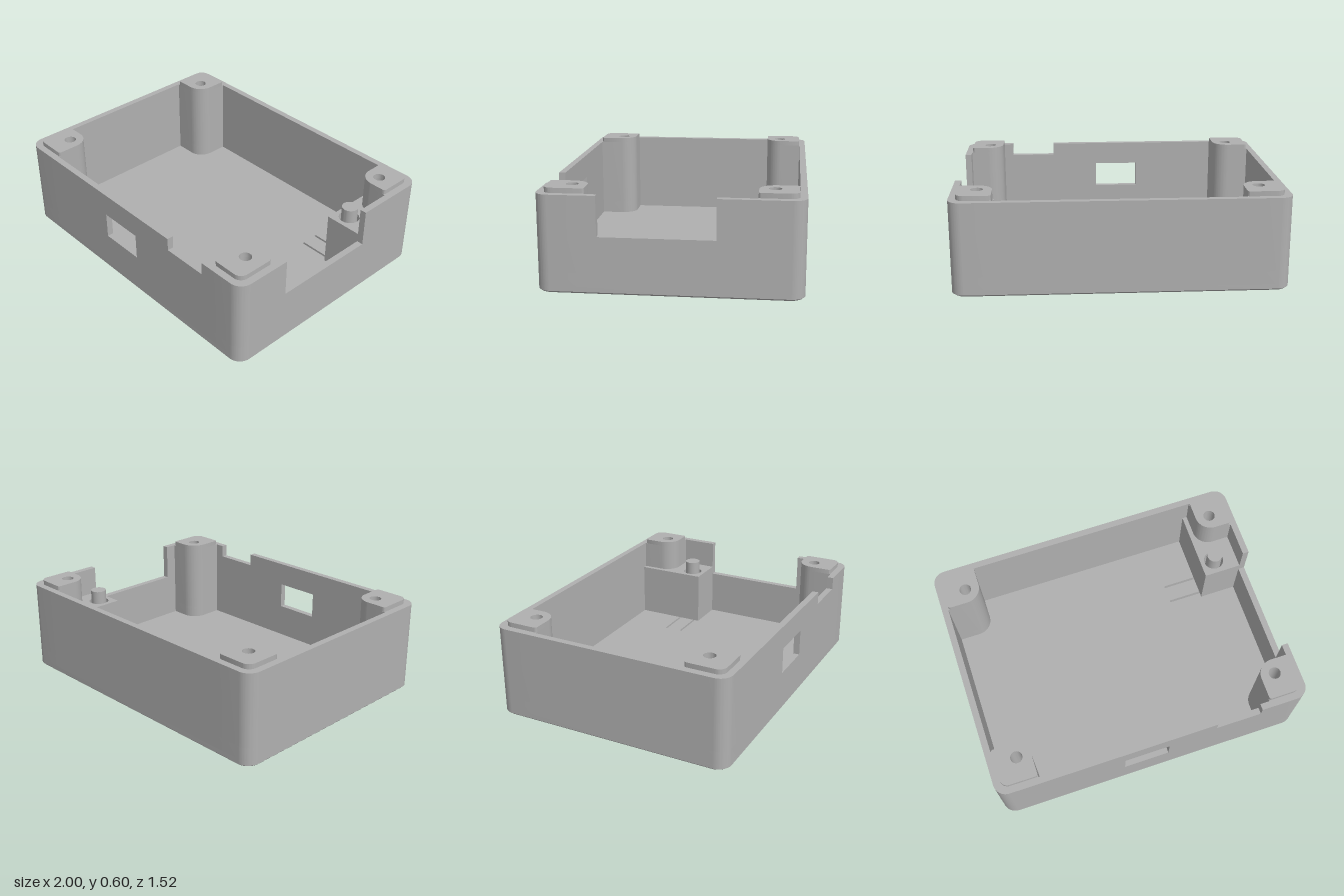
import * as THREE from 'three';
import { toCreasedNormals } from 'three/addons/utils/BufferGeometryUtils.js';

const plastic = new THREE.MeshStandardMaterial({ color: 0xb0b0b0 });
plastic.name = 'grey plastic';

const W = 1, D = 0.76, T = 0.04, FLOOR = 0.04, RIM = 0.57, LUG = 0.6;
const BORE_TOP = 0.12, BORE_R = 0.06, SCREW_R = 0.037;
const PIN = { x: 0.81, s: 0.357, r: 0.05, gap: 0.064 };

// Plan outlines use (x, s) with s = -z, so that they extrude upwards.
// Radii run from the (x0, s0) corner anticlockwise.
function roundedRect(x0, s0, x1, s1, [a, b, c, d]) {
  const p = new THREE.Shape();
  const H = Math.PI / 2;
  const corner = (x, s, r, start) => r > 0 ? p.absarc(x, s, r, start, start + H, false) : p.lineTo(x, s);
  p.moveTo(x0 + a, s0);
  corner(x1 - b, s0 + b, b, -H);
  corner(x1 - c, s1 - c, c, 0);
  corner(x0 + d, s1 - d, d, H);
  corner(x0 + a, s0 + a, a, 2 * H);
  return p;
}

function polygon(points) {
  return new THREE.Shape(points.map(([x, y]) => new THREE.Vector2(x, y)));
}

function addHole(shape, x, s, r) {
  shape.holes.push(new THREE.Path().absarc(x, s, r, 0, Math.PI * 2, true));
  return shape;
}

function mesh(name, geometry) {
  const m = new THREE.Mesh(toCreasedNormals(geometry, 0.5), plastic);
  m.name = name;
  return m;
}

const extrude = (shape, depth) =>
  new THREE.ExtrudeGeometry(shape, { depth, bevelEnabled: false, curveSegments: 12 });

const upright = (shape, y0, y1) => extrude(shape, y1 - y0).rotateX(-Math.PI / 2).translate(0, y0, 0);

// The four screw corners: sign, inner edges, hole centre (in x, s)
const corners = [
  { name: 'backLeft', sx: 1, ss: 1, xi: 0.75, si: 0.49, hx: 0.84, hs: 0.58 },
  { name: 'backRight', sx: -1, ss: 1, xi: 0.73, si: 0.49, hx: -0.82, hs: 0.58 },
  { name: 'frontLeft', sx: 1, ss: -1, xi: 0.75, si: 0.48, hx: 0.84, hs: -0.57 },
  { name: 'frontRight', sx: -1, ss: -1, xi: 0.73, si: 0.48, hx: -0.82, hs: -0.57 },
];

// Rectangle between a corner's inner edges and the given outer edges
function cornerShape(c, xo, so, rIn, rOut, rSide, holeR) {
  const xs = [c.sx * c.xi, c.sx * xo].sort((a, b) => a - b);
  const ss = [c.ss * c.si, c.ss * so].sort((a, b) => a - b);
  const radii = [[-1, -1], [1, -1], [1, 1], [-1, 1]].map(([x, s]) =>
    x === c.sx && s === c.ss ? rOut : x !== c.sx && s !== c.ss ? rIn : rSide);
  return addHole(roundedRect(xs[0], ss[0], xs[1], ss[1], radii), c.hx, c.hs, holeR);
}

// Slot that frees the button's flexible tongue from the floor
function tongueSlot() {
  const { x, s, r, gap } = PIN, end = 0.5, H = Math.PI / 2;
  const p = new THREE.Path();
  p.moveTo(end, s - gap);
  p.lineTo(x, s - gap);
  p.absarc(x, s, gap, -H, H, false);
  p.lineTo(end, s + gap);
  p.lineTo(end, s + r);
  p.lineTo(x, s + r);
  p.absarc(x, s, r, H, -H, true);
  p.lineTo(end, s - r);
  p.closePath();
  return p;
}

function floorShape() {
  const shape = roundedRect(-W, -D, W, D, [0.08, 0.08, 0.08, 0.08]);
  corners.forEach((c) => addHole(shape, c.hx, c.hs, BORE_R));
  shape.holes.push(tongueSlot());
  return shape;
}

export function createModel() {
  const g = new THREE.Group();
  g.name = 'openEnclosure';

  // Floor, with its bottom outer edge chamfered
  const edge = upright(floorShape(), 0, 0.01);
  const pos = edge.attributes.position;
  for (let i = 0; i < pos.count; i++) {
    const x = pos.getX(i), z = pos.getZ(i);
    if (pos.getY(i) < 0.005 && (Math.abs(x) > 0.91 || Math.abs(z) > 0.67)) {
      pos.setX(i, x * 0.99);
      pos.setZ(i, z * 0.987);
    }
  }
  edge.computeVertexNormals();
  g.add(mesh('floorChamfer', edge), mesh('floor', upright(floorShape(), 0.01, FLOOR)));

  // Corner posts with counterbored screw holes and raised lugs
  for (const c of corners) {
    const post = new THREE.Group();
    post.name = c.name + 'Post';
    post.add(
      mesh('lowerPost', upright(cornerShape(c, W, D, 0.1, 0.08, 0, BORE_R), FLOOR, BORE_TOP)),
      mesh('upperPost', upright(cornerShape(c, W, D, 0.1, 0.08, 0, SCREW_R), BORE_TOP, RIM)),
      mesh('lug', upright(cornerShape(c, 0.955, 0.717, 0.1, 0.05, 0.015, SCREW_R), RIM, LUG)),
    );
    g.add(post);
  }

  // Front wall with a rim notch and a window
  const front = polygon([[-0.73, FLOOR], [0.75, FLOOR], [0.75, RIM], [0.69, RIM],
    [0.69, 0.49], [0.4, 0.49], [0.4, RIM], [-0.73, RIM]]);
  front.holes.push(polygon([[-0.195, 0.255], [-0.195, 0.42], [0.095, 0.42], [0.095, 0.255]]));
  g.add(mesh('frontWall', extrude(front, T).translate(0, 0, D - T)));

  // Plain back wall
  const back = polygon([[-0.73, FLOOR], [0.75, FLOOR], [0.75, RIM], [-0.73, RIM]]);
  g.add(mesh('backWall', extrude(back, T).translate(0, 0, -D)));

  // Side walls, drawn in (-z, y); the +x one has a wide cut-out
  const side = (outline, x) => extrude(polygon(outline), T).rotateY(Math.PI / 2).translate(x, 0, 0);
  g.add(mesh('leftWall', side([[-0.48, FLOOR], [0.49, FLOOR], [0.49, RIM], [0.265, RIM],
    [0.265, 0.335], [-0.405, 0.335], [-0.405, RIM], [-0.48, RIM]], W - T)));
  g.add(mesh('rightWall', side([[-0.48, FLOOR], [0.49, FLOOR], [0.49, RIM], [-0.48, RIM]], -W)));

  // Guide block around the button pin, passing round the screw bore
  const block = roundedRect(0.72, 0.265, W - T, D - T, [0, 0, 0, 0]);
  addHole(block, PIN.x, PIN.s, PIN.gap);
  addHole(block, 0.84, 0.58, BORE_R);
  g.add(mesh('buttonGuide', upright(block, FLOOR, 0.39)));

  // Button pin standing on the tongue
  const pin = new THREE.CylinderGeometry(PIN.r, PIN.r, 0.47 - FLOOR, 32);
  pin.translate(PIN.x, (0.47 + FLOOR) / 2, -PIN.s);
  g.add(mesh('buttonPin', pin));

  return g;
}
